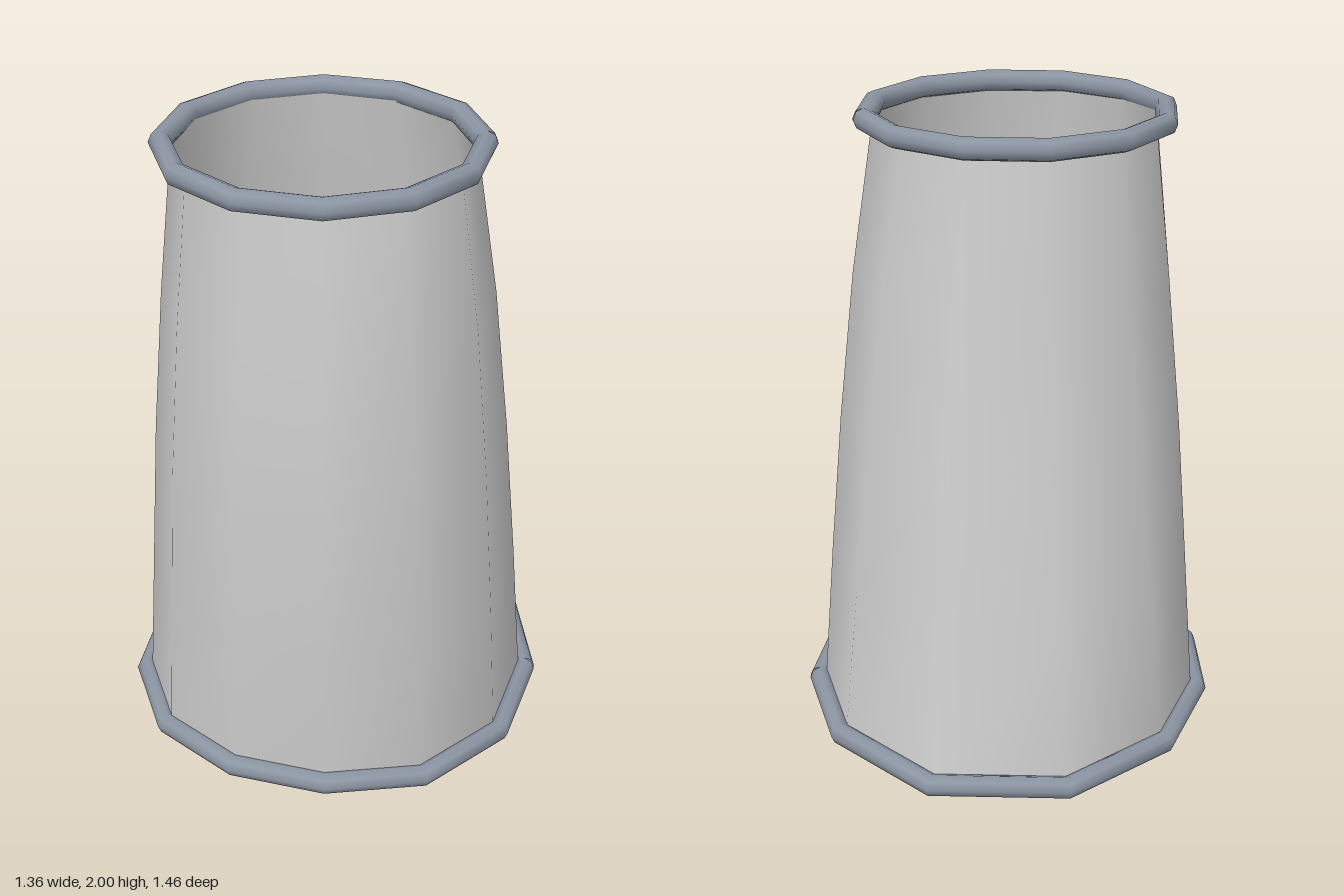
import * as THREE from 'three';

const SIDES = 12, CX = -0.04, CZ = 0.11, TUBE = 0.035;

// Corners of the uneven lower rim, starting at +x and going round towards +z
const lowerRim = [
  [0.68, 0.11], [0.56, 0.46], [0.29, 0.69], [-0.04, 0.73], [-0.35, 0.64], [-0.59, 0.425],
  [-0.685, 0.11], [-0.625, -0.225], [-0.42, -0.54], [-0.04, -0.735], [0.39, -0.635], [0.645, -0.28],
].map(([x, z]) => {
  const dx = x - CX, dz = z - CZ, k = 1 - TUBE / Math.hypot(dx, dz);
  return [dx * k, dz * k];
});
const upperRim = lowerRim.map((_, i) => {
  const a = (i / SIDES) * Math.PI * 2;
  return [0.475 * Math.cos(a), 0.475 * Math.sin(a)];
});

// Open polyline once round the rim; its square-cut ends leave a small seam
class RimCurve extends THREE.Curve {
  constructor(rim, y) {
    super();
    this.points = [...rim, rim[0]].map(([x, z]) => new THREE.Vector3(CX + x, y, CZ + z));
  }
  getPointAt(u, target = new THREE.Vector3()) {
    return target.copy(this.points[Math.round(u * SIDES)]);
  }
  getTangentAt(u, target = new THREE.Vector3()) {
    const i = Math.round(u * SIDES), p = this.points;
    target.set(0, 0, 0);
    if (i > 0) target.add(p[i].clone().sub(p[i - 1]).normalize());
    if (i < SIDES) target.add(p[i + 1].clone().sub(p[i]).normalize());
    return target.normalize();
  }
}

function makeRim(name, rim, y) {
  const mesh = new THREE.Mesh(
    new THREE.TubeGeometry(new RimCurve(rim, y), SIDES, TUBE, 8, false),
    new THREE.MeshStandardMaterial({ color: 0x8c95a3, side: THREE.DoubleSide }));
  mesh.name = name;
  return mesh;
}

// Thin wall: each section is [y, xMin, xMax, zMin, zMax]
function makeWall() {
  const sections = [
    [0.04, -0.635, 0.625, -0.68, 0.68],
    [0.52, -0.605, 0.585, -0.59, 0.697],
    [1.0, -0.575, 0.54, -0.5, 0.69],
    [1.48, -0.535, 0.485, -0.405, 0.652],
    [1.96, -0.485, 0.41, -0.335, 0.578],
  ];
  const wall = new THREE.CylinderGeometry(1, 1, 1, SIDES, sections.length - 1, true);
  const pos = wall.attributes.position;
  // Rows of the cylinder run from top to bottom, columns from +z towards +x
  for (let v = 0; v < pos.count; v++) {
    const row = Math.floor(v / (SIDES + 1)), col = v % (SIDES + 1);
    const i = (3 - col + SIDES) % SIDES;
    const [y, x0, x1, z0, z1] = sections[sections.length - 1 - row];
    const t = 1 - row / (sections.length - 1);
    const [lx, lz] = lowerRim[i], a = (i / SIDES) * Math.PI * 2;
    // Outline blends from the uneven lower rim to a regular polygon
    const u = THREE.MathUtils.lerp(lx / Math.abs(lowerRim[lx > 0 ? 0 : 6][0]), Math.cos(a), t);
    const w = THREE.MathUtils.lerp(lz / Math.abs(lowerRim[lz > 0 ? 3 : 9][1]), Math.sin(a), t);
    pos.setXYZ(v,
      CX + u * (u > 0 ? x1 - CX : CX - x0), y,
      CZ + w * (w > 0 ? z1 - CZ : CZ - z0));
  }
  wall.computeVertexNormals();
  // Share the normal where the wall closes on itself
  const n = wall.attributes.normal;
  for (let r = 0; r < sections.length; r++) {
    const a = r * (SIDES + 1), b = a + SIDES;
    const m = new THREE.Vector3().fromBufferAttribute(n, a)
      .add(new THREE.Vector3().fromBufferAttribute(n, b)).normalize();
    n.setXYZ(a, m.x, m.y, m.z);
    n.setXYZ(b, m.x, m.y, m.z);
  }
  const mesh = new THREE.Mesh(wall,
    new THREE.MeshStandardMaterial({ color: 0xcccccc, side: THREE.DoubleSide }));
  mesh.name = 'sleeveWall';
  return mesh;
}

export function createModel() {
  const group = new THREE.Group();
  group.name = 'taperedSleeve';
  group.add(makeWall());
  group.add(makeRim('lowerRim', lowerRim, 0.038));
  group.add(makeRim('upperRim', upperRim, 1.964));
  return group;
}
